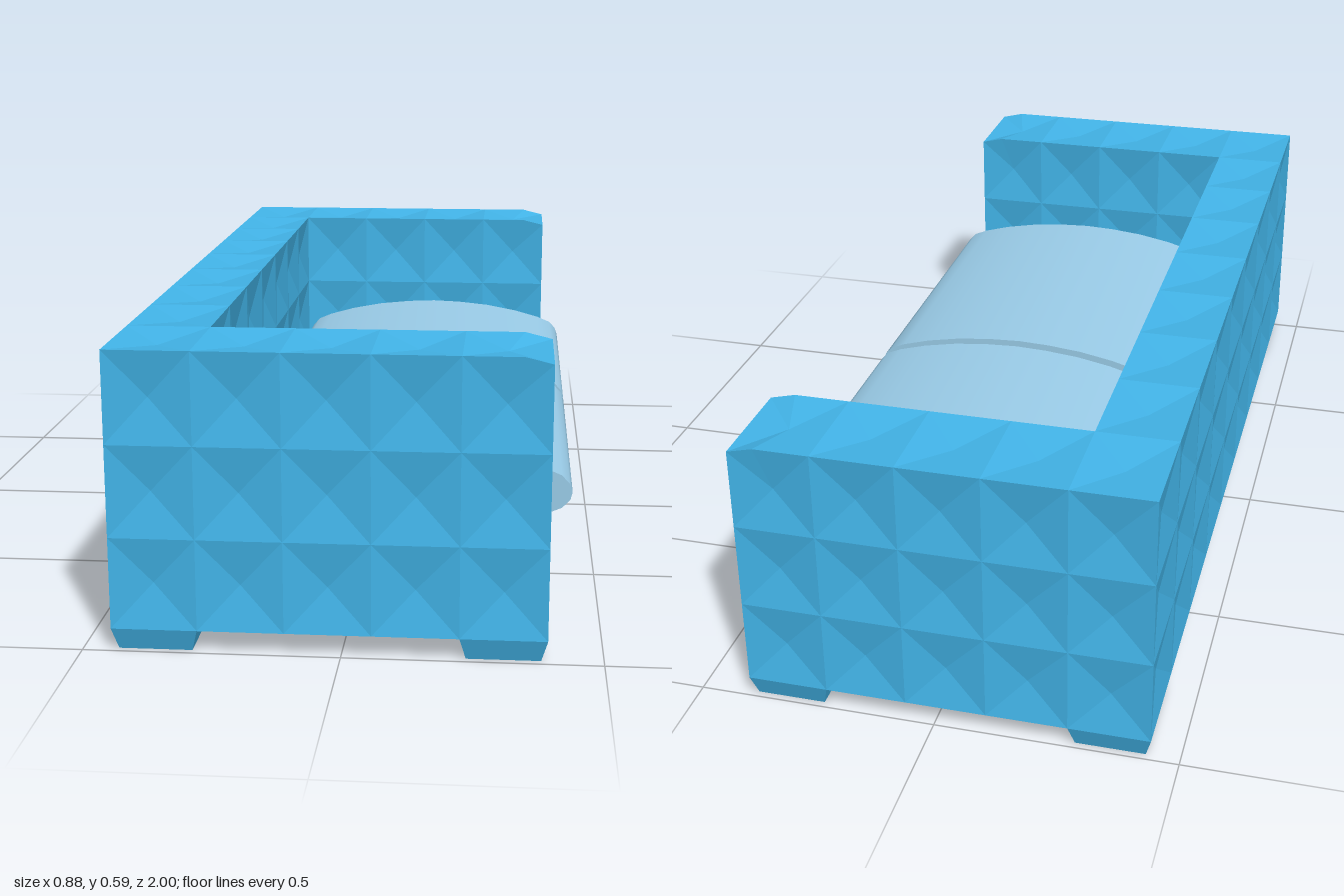
import * as THREE from 'three';
import { toCreasedNormals } from 'three/addons/utils/BufferGeometryUtils.js';

const BLUE = 0x42b4e8, PALE = 0x9accE8;
const N = [5, 3, 9]; // upholstery cells along x, y, z
const MIN = [-0.443, 0.045, -1], MAX = [0.393, 0.593, 1];
const DEPTH = 0.014; // how far each tuft is pressed in

const isSolid = (c) =>
  c.every((v, a) => v >= 0 && v < N[a]) &&
  (c[1] === 0 || c[0] === 0 || c[2] === 0 || c[2] === N[2] - 1);

// Grid corner to position; the top front edge of the arms drops a little
function cornerPoint(g) {
  const p = g.map((v, a) => MIN[a] + ((MAX[a] - MIN[a]) * v) / N[a]);
  if (g[0] === N[0] && g[1] === N[1]) p[1] = 0.58;
  return p;
}

// One outer cell face: a fan around a centre pressed inwards
function addTuft(out, cell, axis, sign) {
  const u = (axis + 1) % 3, v = (axis + 2) % 3;
  let corners = [[0, 0], [1, 0], [1, 1], [0, 1]].map(([du, dv]) => {
    const g = [...cell];
    g[axis] += sign > 0 ? 1 : 0;
    g[u] += du;
    g[v] += dv;
    return g;
  });
  if (sign < 0) corners.reverse();

  const ring = [];
  corners.forEach((g, i) => {
    const next = corners[(i + 1) % 4];
    ring.push(cornerPoint(g));
    // start of the sloped arm front on the top edge
    if (g[1] === N[1] && next[1] === N[1] && g[0] !== next[0] && Math.max(g[0], next[0]) === N[0]) {
      ring.push([0.34, MAX[1], cornerPoint(g)[2]]);
    }
  });

  const centre = cell.map((c, a) => MIN[a] + ((MAX[a] - MIN[a]) * (c + 0.5)) / N[a]);
  const flatBottom = axis === 1 && sign < 0;
  centre[axis] += sign * ((MAX[axis] - MIN[axis]) / N[axis] / 2 - (flatBottom ? 0 : DEPTH));
  ring.forEach((p, i) => out.push(...centre, ...p, ...ring[(i + 1) % ring.length]));
}

// Base, backrest and arms as one tufted shell
function tuftedBody() {
  const pos = [];
  for (let i = 0; i < N[0]; i++)
    for (let j = 0; j < N[1]; j++)
      for (let k = 0; k < N[2]; k++) {
        const cell = [i, j, k];
        if (!isSolid(cell)) continue;
        for (let axis = 0; axis < 3; axis++)
          for (const sign of [-1, 1]) {
            const neighbour = [...cell];
            neighbour[axis] += sign;
            if (!isSolid(neighbour)) addTuft(pos, cell, axis, sign);
          }
      }
  const geo = new THREE.BufferGeometry();
  geo.setAttribute('position', new THREE.Float32BufferAttribute(pos, 3));
  geo.computeVertexNormals();
  return geo;
}

// Domed cushion profile, mirrored front to back, extruded along z
function cushionGeometry(length) {
  const mid = 0.0875;
  const half = [[0.39, 0.222], [0.42, 0.235], [0.436, 0.252], [0.44, 0.268], [0.434, 0.285],
    [0.418, 0.302], [0.385, 0.316], [0.32, 0.334], [0.24, 0.349], [0.16, 0.357]];
  const back = half.map(([x, y]) => [2 * mid - x, y]).reverse();
  const shape = new THREE.Shape([...half, [mid, 0.36], ...back].map(([x, y]) => new THREE.Vector2(x, y)));
  const geo = new THREE.ExtrudeGeometry(shape, { depth: length, bevelEnabled: false });
  return toCreasedNormals(geo, 0.6);
}

// Block foot, narrower at the floor
function footGeometry() {
  const geo = new THREE.BoxGeometry(0.167, 0.045, 0.22);
  const p = geo.attributes.position;
  for (let i = 0; i < p.count; i++) {
    if (p.getY(i) < 0) {
      p.setX(i, p.getX(i) - Math.sign(p.getX(i)) * 0.012);
      p.setZ(i, p.getZ(i) - Math.sign(p.getZ(i)) * 0.015);
    }
  }
  geo.computeVertexNormals();
  return geo;
}

export function createModel() {
  const model = new THREE.Group();
  model.name = 'sofa';
  const blue = new THREE.MeshStandardMaterial({ color: BLUE, flatShading: true });
  const pale = new THREE.MeshStandardMaterial({ color: PALE });

  const add = (name, geo, mat, x = 0, y = 0, z = 0) => {
    const mesh = new THREE.Mesh(geo, mat);
    mesh.name = name;
    mesh.position.set(x, y, z);
    model.add(mesh);
  };

  add('tuftedBody', tuftedBody(), blue);

  // Two seat cushions with a narrow gap
  const cushion = cushionGeometry(0.752);
  add('leftCushion', cushion, pale, 0, 0, 0.013);
  add('rightCushion', cushion, pale, 0, 0, -0.768);

  // Feet under the four corners
  const foot = footGeometry();
  for (const x of [-0.3595, 0.3095])
    for (const z of [-0.89, 0.89]) add('foot', foot, blue, x, 0.0225, z);

  return model;
}
